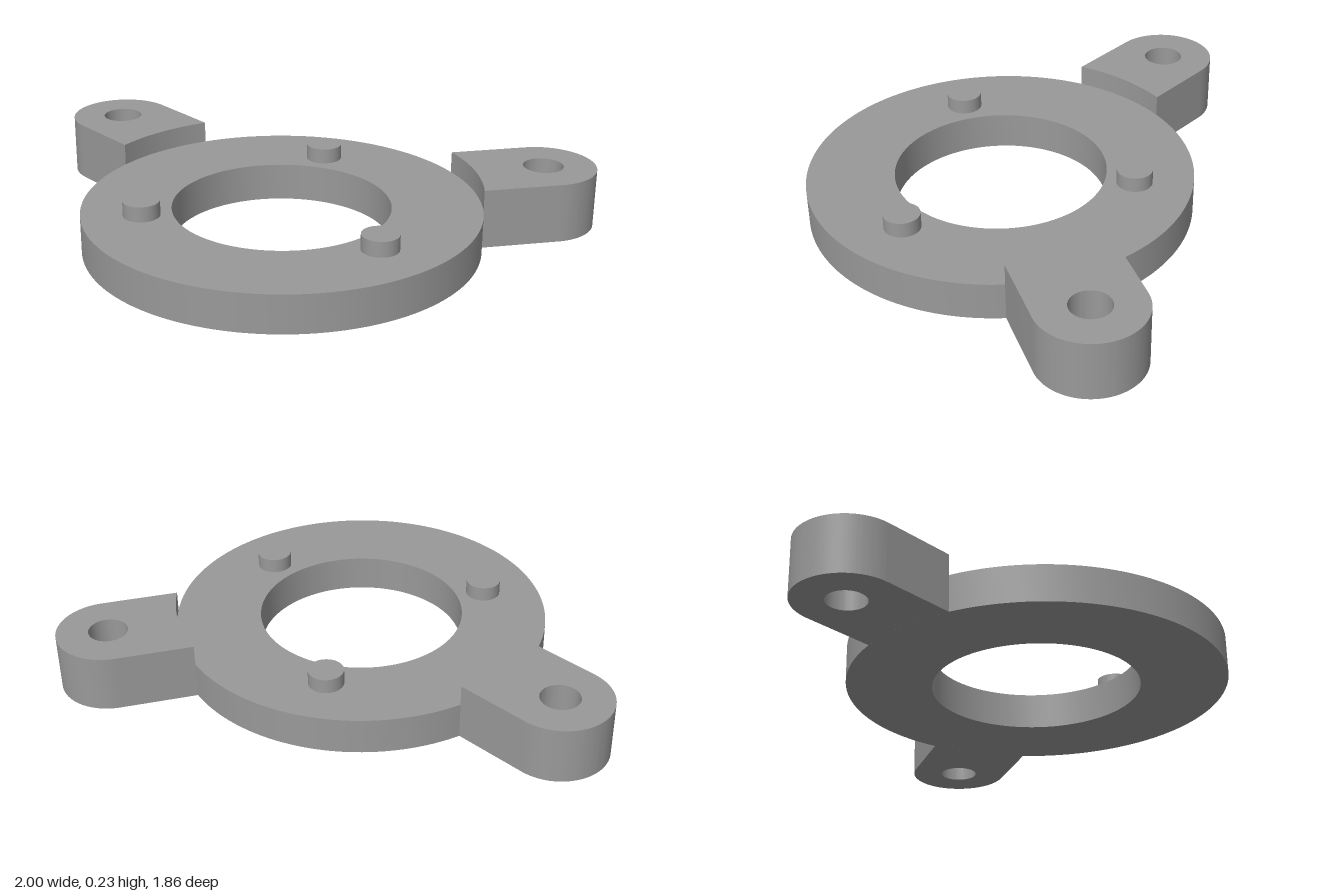
import * as THREE from 'three';
import { toCreasedNormals } from 'three/addons/utils/BufferGeometryUtils.js';

const RING_R = 0.757, BORE_R = 0.415, RING_H = 0.148;
const LUG_H = 0.232, LUG_W = 0.205, LUG_DIST = 1.035, HOLE_R = 0.078;
const PEG_R = 0.07, PEG_DIST = 0.53, PEG_TOP = 0.208;

// Extrudes a plan outline upwards from y = 0, smooth on curves and sharp at edges
function plate(shape, height, curveSegments) {
  const geo = new THREE.ExtrudeGeometry(shape, { depth: height, bevelEnabled: false, curveSegments });
  geo.rotateX(-Math.PI / 2);
  return toCreasedNormals(geo, Math.PI / 6);
}

function circleHole(x, y, r) {
  return new THREE.Path().absarc(x, y, r, 0, Math.PI * 2, true);
}

export function createModel() {
  const model = new THREE.Group();
  model.name = 'mountingFlange';
  const metal = new THREE.MeshStandardMaterial({ color: 0x999999 });
  metal.name = 'grey';

  // Everything is laid out around the ring axis
  const body = new THREE.Group();
  body.name = 'flangeBody';
  body.position.set(0.243, 0, 0.17);
  model.add(body);

  const add = (name, geometry) => {
    const mesh = new THREE.Mesh(geometry, metal);
    mesh.name = name;
    body.add(mesh);
    return mesh;
  };

  // Flat ring with a large bore
  const ring = new THREE.Shape().absarc(0, 0, RING_R, 0, Math.PI * 2, false);
  ring.holes.push(circleHole(0, 0, BORE_R));
  add('ring', plate(ring, RING_H, 96));

  // Taller rounded lugs whose inner face follows the ring's rim
  const a = Math.asin(LUG_W / RING_R);
  const inner = RING_R * Math.cos(a);
  const lug = new THREE.Shape();
  lug.moveTo(inner, -LUG_W);
  lug.lineTo(LUG_DIST, -LUG_W);
  lug.absarc(LUG_DIST, 0, LUG_W, -Math.PI / 2, Math.PI / 2, false);
  lug.lineTo(inner, LUG_W);
  lug.absarc(0, 0, RING_R, a, -a, true);
  lug.holes.push(circleHole(LUG_DIST, 0, HOLE_R));
  const lugGeo = plate(lug, LUG_H, 40);
  add('backLug', lugGeo).rotation.y = Math.PI / 3;
  add('rightLug', lugGeo).rotation.y = Math.PI;

  // Three locating pegs, evenly spaced on the ring
  const pegH = PEG_TOP - RING_H;
  const pegGeo = new THREE.CylinderGeometry(PEG_R, PEG_R, pegH, 40);
  for (let i = 0; i < 3; i++) {
    const t = (i * Math.PI * 2) / 3;
    add('peg' + (i + 1), pegGeo).position.set(
      PEG_DIST * Math.cos(t), RING_H + pegH / 2, -PEG_DIST * Math.sin(t));
  }
  return model;
}
